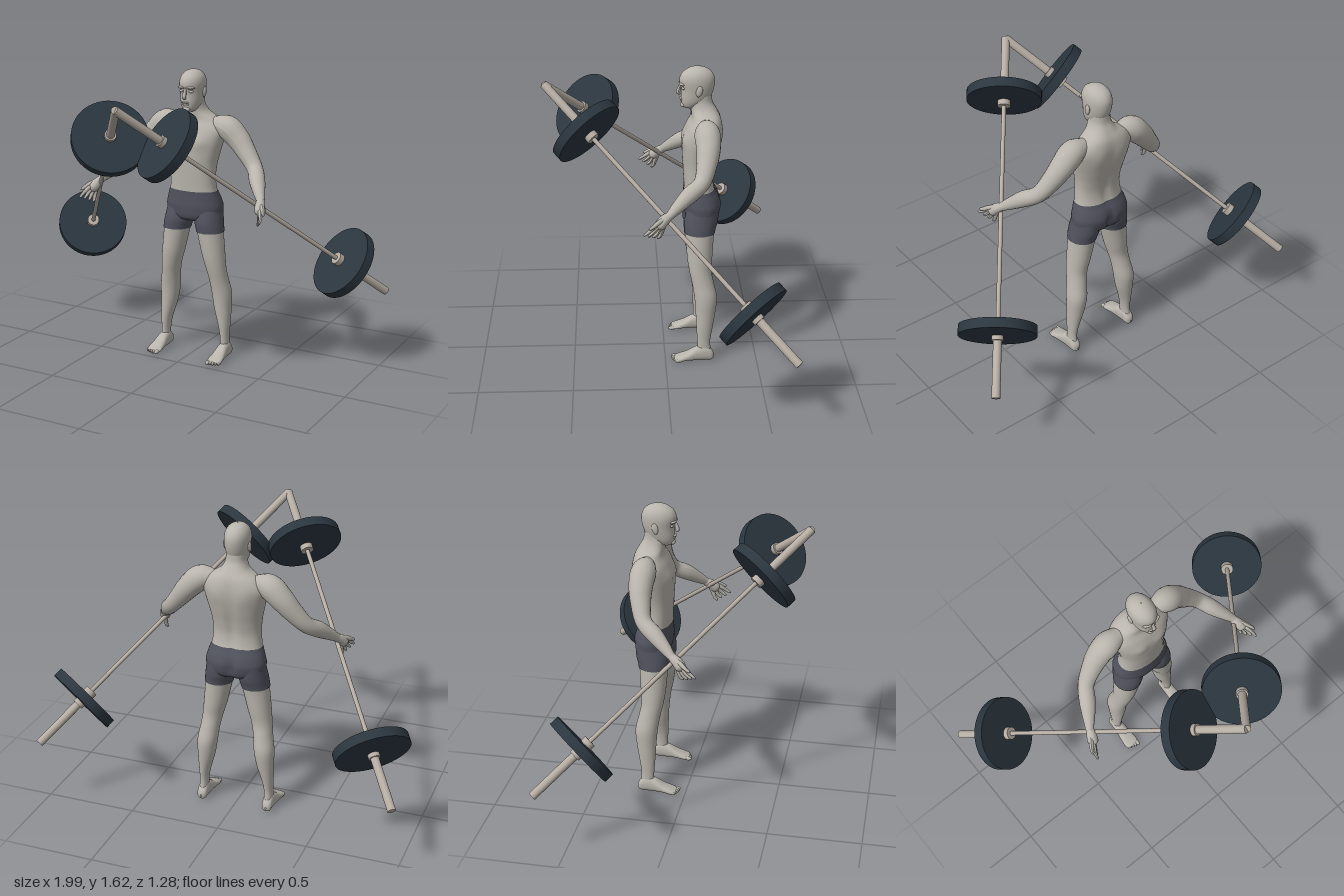
import * as THREE from 'three';

const mat = (name, color) => Object.assign(new THREE.MeshStandardMaterial({ color }), { name });
const M = {
  skin: mat('skin', 0xb9b5ad), metal: mat('steel', 0xb5aca2),
  shorts: mat('shorts cloth', 0x50525d), plate: mat('dark plate', 0x2b363f),
};

function add(parent, name, geometry, material, pos = [0, 0, 0], scale = [1, 1, 1]) {
  const m = new THREE.Mesh(geometry, material);
  m.name = name;
  m.position.set(...pos);
  m.scale.set(...scale);
  parent.add(m);
  return m;
}

// Uniform Catmull-Rom through rows of numbers; t runs over row indices.
function sample(rows, t) {
  const i = Math.min(Math.floor(t), rows.length - 2), f = t - i;
  const r = k => rows[Math.max(0, Math.min(rows.length - 1, k))];
  return rows[0].map((_, c) => {
    const [a, b, d, e] = [r(i - 1)[c], r(i)[c], r(i + 1)[c], r(i + 2)[c]];
    return b + 0.5 * f * (d - a + f * (2 * a - 5 * b + 4 * d - e + f * (3 * (b - d) + e - a)));
  });
}

// Skin over cross-sections [y, centre x, half width, front z, back z].
function loft(rows, { from = 0, to = rows.length - 1, grow = 0, power = 1, side = 1, rule } = {}) {
  const n = 48, steps = Math.ceil((to - from) * 6), pos = [], idx = [];
  const bend = c => Math.sign(c) * Math.abs(c) ** power;
  for (let i = 0; i <= steps; i++) {
    const [y, cx, hw, zf, zb] = sample(rows, from + (to - from) * i / steps);
    for (let j = 0; j < n; j++) {
      const a = j / n * Math.PI * 2, s = Math.sin(a);
      const x = cx * side + (Math.max(hw, 0.001) + grow) * bend(Math.cos(a));
      let z = (zf + zb) / 2 + ((zf - zb) / 2 + grow) * bend(s);
      if (rule) z += rule(x, y, s);
      pos.push(x, y, z);
      if (i < steps) {
        const p = i * n + j, q = i * n + (j + 1) % n;
        idx.push(p, p + n, q, q, p + n, q + n);
      }
    }
  }
  const g = new THREE.BufferGeometry();
  g.setAttribute('position', new THREE.Float32BufferAttribute(pos, 3));
  g.setIndex(idx);
  g.computeVertexNormals();
  return g;
}

// Tube of changing radius through points [x, y, z, radius].
function limb(points, side, segments = 36, sides = 20) {
  const curve = new THREE.CatmullRomCurve3(points.map(p => new THREE.Vector3(p[0] * side, p[1], p[2])));
  const g = new THREE.TubeGeometry(curve, segments, 1, sides);
  const p = g.attributes.position, v = new THREE.Vector3();
  for (let i = 0; i <= segments; i++) {
    const c = curve.getPointAt(i / segments);
    const r = sample(points, curve.getUtoTmapping(i / segments) * (points.length - 1))[3];
    for (let j = 0; j <= sides; j++) {
      const k = i * (sides + 1) + j;
      v.fromBufferAttribute(p, k).sub(c).multiplyScalar(Math.max(r, 0.0005)).add(c);
      p.setXYZ(k, v.x, v.y, v.z);
    }
  }
  g.computeVertexNormals();
  return g;
}

const ball = new THREE.SphereGeometry(1, 24, 16);
const bump = (x, c, w) => Math.exp(-(((x - c) / w) ** 2));

const TORSO = [
  [0.775, 0, 0.01, -0.18, -0.21], [0.80, 0, 0.14, -0.12, -0.28], [0.86, 0, 0.161, -0.105, -0.302],
  [0.91, 0, 0.152, -0.105, -0.292], [0.96, 0, 0.137, -0.106, -0.268], [1.03, 0, 0.130, -0.102, -0.260],
  [1.10, 0, 0.134, -0.098, -0.272], [1.17, 0, 0.148, -0.094, -0.290], [1.24, 0, 0.165, -0.100, -0.303],
  [1.30, 0, 0.172, -0.118, -0.305], [1.35, 0, 0.135, -0.142, -0.297], [1.39, 0, 0.077, -0.140, -0.277],
  [1.43, 0, 0.055, -0.133, -0.255], [1.47, 0, 0.052, -0.130, -0.250],
];
const LEG = [
  [0.04, 0.19, 0.024, -0.175, -0.252], [0.11, 0.188, 0.024, -0.175, -0.245], [0.18, 0.183, 0.031, -0.17, -0.255],
  [0.28, 0.17, 0.047, -0.165, -0.272], [0.37, 0.163, 0.055, -0.158, -0.28], [0.45, 0.152, 0.053, -0.145, -0.263],
  [0.52, 0.14, 0.056, -0.13, -0.25], [0.60, 0.125, 0.064, -0.118, -0.255], [0.73, 0.103, 0.073, -0.11, -0.265],
  [0.79, 0.092, 0.075, -0.108, -0.28], [0.86, 0.085, 0.07, -0.125, -0.285],
];
// Foot sections run from heel to toes: [z, centre x, half width, -sole, -top]
const FOOT = [
  [-0.267, 0.19, 0.002, -0.02, -0.035], [-0.255, 0.19, 0.024, -0.004, -0.06], [-0.22, 0.19, 0.029, 0, -0.09],
  [-0.17, 0.19, 0.032, 0, -0.08], [-0.12, 0.191, 0.038, -0.002, -0.05], [-0.075, 0.191, 0.042, 0, -0.03],
  [-0.05, 0.191, 0.034, -0.004, -0.02],
];
const HEAD = [
  [1.397, 0, 0.004, -0.12, -0.13], [1.402, 0, 0.028, -0.103, -0.17], [1.42, 0, 0.044, -0.092, -0.205],
  [1.45, 0, 0.056, -0.088, -0.238], [1.50, 0, 0.064, -0.088, -0.259], [1.55, 0, 0.067, -0.079, -0.265],
  [1.585, 0, 0.059, -0.092, -0.253], [1.608, 0, 0.041, -0.12, -0.228], [1.618, 0, 0.022, -0.145, -0.20],
  [1.622, 0, 0.001, -0.17, -0.176],
];
const ARM = [
  [0.10, 1.325, -0.215, 0.04], [0.185, 1.315, -0.215, 0.066], [0.25, 1.26, -0.217, 0.063],
  [0.31, 1.19, -0.205, 0.053], [0.375, 1.115, -0.175, 0.043], [0.42, 1.07, -0.11, 0.043],
  [0.465, 1.02, -0.045, 0.031], [0.492, 0.99, -0.008, 0.022],
];

// Chest, spine and seat relief
function muscles(x, y, s) {
  const m = Math.abs(x);
  if (s > 0) return 0.011 * s * bump(m, 0.07, 0.045) * bump(y, 1.235, 0.04);
  return -s * (0.013 * bump(x, 0, 0.022) * bump(y, 1.1, 0.2) + 0.02 * bump(x, 0, 0.016) * bump(y, 0.85, 0.05))
    + s * 0.006 * bump(m, 0.08, 0.04) * bump(y, 1.27, 0.06);
}

function buildHead(g) {
  add(g, 'head', loft(HEAD), M.skin);
  add(g, 'nose', limb([[0, 1.53, -0.088, 0.006], [0, 1.505, -0.079, 0.009], [0, 1.482, -0.074, 0.011],
    [0, 1.472, -0.084, 0.005]], 1, 16, 12), M.skin);
  add(g, 'upperLip', ball, M.skin, [0, 1.451, -0.088], [0.023, 0.005, 0.008]);
  add(g, 'lowerLip', ball, M.skin, [0, 1.441, -0.09], [0.02, 0.006, 0.008]);
  add(g, 'chin', ball, M.skin, [0, 1.415, -0.1], [0.022, 0.015, 0.016]);
  for (const s of [1, -1]) {
    add(g, 'brow', ball, M.skin, [0.028 * s, 1.532, -0.09], [0.025, 0.007, 0.011]).rotation.y = 0.35 * s;
    add(g, 'eye', ball, M.skin, [0.028 * s, 1.512, -0.099], [0.013, 0.008, 0.011]);
    add(g, 'ear', ball, M.skin, [0.066 * s, 1.503, -0.18], [0.009, 0.03, 0.017]).rotation.x = -0.2;
  }
}

function buildSide(g, side) {
  // Leg with its shorts
  add(g, 'leg', loft(LEG, { side }), M.skin);
  add(g, 'shortsLeg', loft(LEG, { side, from: 8, grow: 0.004 }), M.shorts);
  // Foot and toes
  add(g, 'foot', loft(FOOT, { side, power: 0.85 }).rotateX(Math.PI / 2), M.skin);
  for (let i = 0; i < 5; i++) {
    const r = i ? 0.0085 - i * 0.0004 : 0.012;
    add(g, 'toe', ball, M.skin, [side * (0.163 + i * 0.0145 + (i ? 0.003 : 0)), 0.011, -0.052 - i * i * 0.0012],
      [r, 0.011, 0.021]);
  }
  // Arm and hand
  add(g, 'arm', limb(ARM, side), M.skin);
  add(g, 'hand', limb([[0.485, 0.995, -0.018, 0.02], [0.5, 0.972, 0.018, 0.027], [0.513, 0.945, 0.045, 0.027],
    [0.52, 0.93, 0.06, 0.004]], side, 16), M.skin);
  for (let i = 0; i < 4; i++) {
    add(g, 'finger', limb([
      [0.495, 0.98, 0.005, 0.012], [0.525 - i * 0.007, 0.95 - i * 0.01, 0.065 - i * 0.012, 0.012],
      [0.54 - i * 0.012, 0.925 - i * 0.013, 0.098 - i * 0.019, 0.009],
      [0.545 - i * 0.014, 0.908 - i * 0.011, 0.122 - i * 0.023, 0.006],
      [0.546 - i * 0.014, 0.905 - i * 0.011, 0.125 - i * 0.023, 0.001]], side, 20, 12), M.skin);
  }
  add(g, 'thumb', limb([[0.495, 0.985, 0, 0.014], [0.525, 0.972, 0.045, 0.013], [0.545, 0.955, 0.075, 0.01],
    [0.553, 0.945, 0.095, 0.007], [0.554, 0.943, 0.099, 0.001]], side, 16, 12), M.skin);
}

// Barbell built along y about its middle, then tilted
function buildBarbell(side) {
  const g = new THREE.Group();
  g.name = 'barbell';
  const rod = (name, r, length, y, m) => add(g, name, new THREE.CylinderGeometry(r, r, length, 48), m, [0, y, 0]);
  rod('bar', 0.0115, 1.3, 0, M.metal);
  for (const e of [1, -1]) {
    rod('sleeve', 0.022, 0.375, e * 0.787, M.metal);
    rod('innerCollar', 0.034, 0.03, e * 0.592, M.metal);
    rod('outerCollar', 0.031, 0.025, e * 0.672, M.metal);
    rod('weightPlate', 0.2, 0.052, e * 0.635, M.plate);
  }
  g.position.set(0.487 * side, 0.963, 0);
  g.quaternion.setFromUnitVectors(new THREE.Vector3(0, 1, 0),
    new THREE.Vector3(-0.503 * side, 0.585, 0.641).normalize());
  return g;
}

export function createModel() {
  const model = new THREE.Group();
  model.name = 'liftersFigure';
  const figure = new THREE.Group();
  figure.name = 'figure';
  model.add(figure);
  add(figure, 'torso', loft(TORSO, { from: 3.8, power: 0.88, rule: muscles }), M.skin);
  add(figure, 'shortsSeat', loft(TORSO, { to: 4, power: 0.88, grow: 0.003, rule: muscles }), M.shorts);
  buildHead(figure);
  for (const side of [1, -1]) {
    buildSide(figure, side);
    model.add(buildBarbell(side));
  }
  return model;
}
